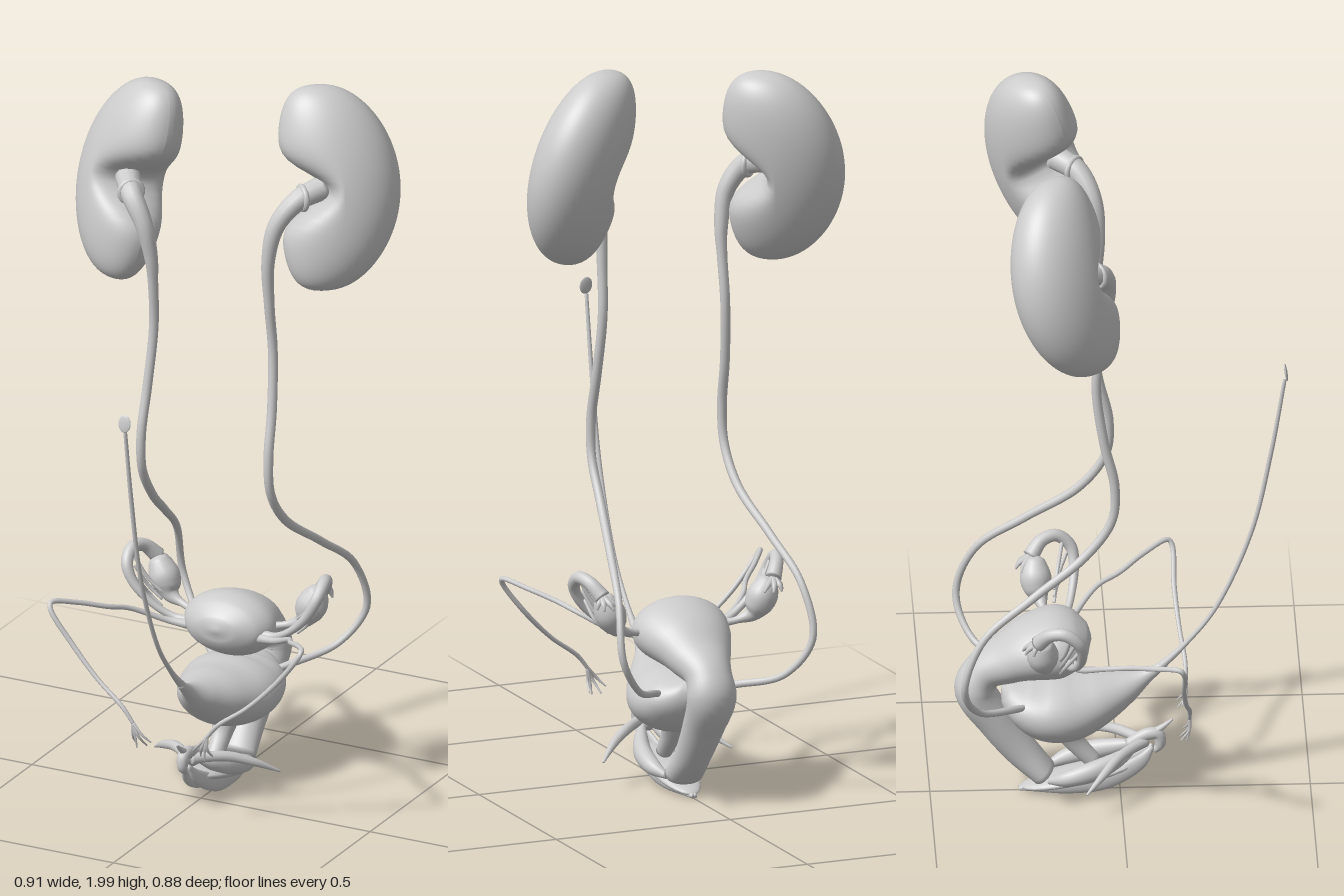
import * as THREE from 'three';

const tissue = new THREE.MeshStandardMaterial({ color: 0xcccccc });
tissue.name = 'tissue grey';

// Smooth closed sweep through [x, y, z, halfWidth, halfDepth] stations.
// With flat = true the width always lies along x.
function sweep(stations, steps = 48, sides = 14, flat = false) {
  const curve = new THREE.CatmullRomCurve3(stations.map(p => new THREE.Vector3(p[0], p[1], p[2])), false, 'centripetal');
  const sizes = new THREE.CatmullRomCurve3(stations.map((p, i) => new THREE.Vector3(p[3], p[4] ?? p[3], i)));
  const position = [], index = [];
  let side = new THREE.Vector3(1, 0, 0);
  const up = new THREE.Vector3();
  for (let i = -1; i <= steps + 1; i++) {
    const t = Math.min(1, Math.max(0, i / steps));
    const c = curve.getPoint(t), size = sizes.getPoint(t), T = curve.getTangent(t);
    const k = i < 0 || i > steps ? 0 : 1; // collapsed end rings close the ends
    if (flat) side.set(1, 0, 0);
    if (Math.abs(side.dot(T)) > 0.95) side.set(0, 1, 0);
    side.addScaledVector(T, -side.dot(T)).normalize();
    up.crossVectors(T, side);
    for (let j = 0; j < sides; j++) {
      const a = j / sides * Math.PI * 2;
      const p = c.clone()
        .addScaledVector(side, Math.cos(a) * Math.max(size.x, 0) * k)
        .addScaledVector(up, Math.sin(a) * Math.max(size.y, 0) * k);
      position.push(p.x, p.y, p.z);
    }
  }
  for (let i = 0; i < steps + 2; i++) for (let j = 0; j < sides; j++) {
    const a = i * sides + j, b = i * sides + (j + 1) % sides;
    index.push(a, b, a + sides, b, b + sides, a + sides);
  }
  const g = new THREE.BufferGeometry();
  g.setAttribute('position', new THREE.Float32BufferAttribute(position, 3));
  g.setIndex(index);
  g.computeVertexNormals();
  return g;
}

// Bean: a sphere stretched, bent, and dented on its inner side
function kidneyGeometry() {
  const g = new THREE.SphereGeometry(1, 56, 44);
  const p = g.attributes.position;
  for (let i = 0; i < p.count; i++) {
    const X = p.getX(i), Y = p.getY(i), Z = p.getZ(i);
    const full = Math.pow(Math.max(1 - Y * Y, 1e-4), -0.1);
    const dent = X < 0 ? 0.125 * -X * Math.exp(-Math.pow((Y + 0.02) / 0.25, 2)) : 0;
    p.setXYZ(i, 0.162 * X * full + 0.03 - 0.05 * Y * Y + dent, 0.273 * Y, 0.113 * Z * full);
  }
  g.computeVertexNormals();
  return g;
}

export function createModel() {
  const model = new THREE.Group();
  model.name = 'urogenitalSystem';
  const add = (name, geometry) => {
    const m = new THREE.Mesh(geometry, tissue);
    m.name = name;
    model.add(m);
    return m;
  };
  const ellipsoid = (name, x, y, z, rx, ry, rz, tiltX = 0) => {
    const m = add(name, new THREE.SphereGeometry(1, 28, 20));
    m.position.set(x, y, z);
    m.scale.set(rx, ry, rz);
    m.rotation.x = tiltX;
  };

  // Bladder, tapering forward into the cord
  add('bladder', sweep([
    [0, 0.375, 0.12, 0.009, 0.009], [0, 0.34, 0.07, 0.02, 0.02], [0, 0.312, 0.02, 0.052, 0.042],
    [0, 0.285, -0.05, 0.097, 0.07], [0, 0.263, -0.13, 0.132, 0.09], [0, 0.265, -0.2, 0.138, 0.088],
    [0, 0.287, -0.26, 0.115, 0.063], [0, 0.31, -0.3, 0.06, 0.03], [0, 0.315, -0.312, 0.004, 0.002]
  ], 56, 36, true));
  add('urethra', sweep([[0, 0.21, -0.15, 0.045], [0, 0.15, -0.12, 0.028], [0, 0.09, -0.07, 0.022]], 16, 16));
  add('bladderCord', sweep([
    [0, 0.36, 0.1, 0.012], [0, 0.43, 0.17, 0.007], [0, 0.535, 0.25, 0.006], [0, 0.76, 0.345, 0.006],
    [0, 0.995, 0.397, 0.006], [0, 1.21, 0.433, 0.005]
  ], 60, 10));
  ellipsoid('cordTip', 0, 1.232, 0.436, 0.018, 0.024, 0.004, -0.15);

  // Womb bending backward and down into the birth canal
  add('uterus', sweep([
    [0, 0.456, -0.076, 0.008, 0.005], [0, 0.456, -0.086, 0.058, 0.036], [0, 0.453, -0.115, 0.106, 0.068],
    [0, 0.447, -0.165, 0.131, 0.087], [0, 0.43, -0.235, 0.118, 0.08], [0, 0.402, -0.295, 0.092, 0.064],
    [0, 0.365, -0.358, 0.064, 0.053], [0, 0.312, -0.381, 0.067, 0.055], [0, 0.22, -0.328, 0.057, 0.05],
    [0, 0.13, -0.262, 0.05, 0.045], [0, 0.06, -0.2, 0.055, 0.035]
  ], 72, 36, true));

  // Opening at the base
  ellipsoid('vestibule', 0, 0.052, -0.11, 0.058, 0.018, 0.155, -0.22);
  add('clitoris', sweep([
    [0, 0.135, 0.02, 0.016], [0, 0.165, 0.07, 0.017], [0, 0.165, 0.1, 0.016], [0, 0.135, 0.105, 0.014], [0, 0.115, 0.09, 0.007]
  ], 24, 14));
  add('suspensoryLigament', sweep([[0, 0.165, 0.08, 0.012], [0, 0.185, 0.11, 0.008], [0, 0.208, 0.138, 0.003]], 14, 10));

  const beanShape = kidneyGeometry();
  for (const s of [1, -1]) {
    const name = s > 0 ? 'left' : 'right';
    const mirror = pts => pts.map(p => [p[0] * s, ...p.slice(1)]);
    const tube = (part, pts, steps, sides, flat) => add(name + part, sweep(mirror(pts), steps, sides, flat));
    const dy = s > 0 ? 0 : -0.06, dz = s > 0 ? 0 : 0.04;

    // Kidney, turned so its outer border faces backward
    const kidney = add(name + 'Kidney', beanShape);
    const v = new THREE.Vector3(-0.15 * s, 0.96, -0.2).normalize();
    const u = new THREE.Vector3(0.81 * s, 0, -0.58);
    u.addScaledVector(v, -u.dot(v)).normalize();
    kidney.quaternion.setFromRotationMatrix(new THREE.Matrix4().makeBasis(u, v, new THREE.Vector3().crossVectors(u, v)));
    kidney.position.set(0.279 * s, 1.73 + dy, -0.186 + dz);

    // Ureter from the kidney hollow round the back into the bladder
    tube('Ureter', [
      [0.28, 1.74 + dy, -0.16 + dz, 0.034], [0.235, 1.715 + dy, -0.1 + dz, 0.029], [0.192, 1.65 + dy, -0.062 + dz * 0.5, 0.024],
      [0.173, 1.55 + dy, -0.05, 0.018], [0.172, 1.42, -0.058, 0.014], [0.176, 1.29, -0.07, 0.013],
      [0.184, 1.13, -0.05, 0.013], [0.188, 1.0, -0.022, 0.013], [0.19, 0.9, -0.03, 0.012], [0.197, 0.8, -0.1, 0.012],
      [0.23, 0.695, -0.24, 0.011], [0.262, 0.59, -0.37, 0.01], [0.272, 0.45, -0.42, 0.01],
      [0.21, 0.35, -0.38, 0.009], [0.12, 0.31, -0.28, 0.01], [0.09, 0.3, -0.25, 0.008]
    ], 130, 12);
    const rim = add(name + 'HilumRim', new THREE.TorusGeometry(0.03, 0.008, 10, 24));
    rim.position.set(0.243 * s, 1.72 + dy, -0.11 + dz);
    rim.rotation.y = -0.7 * s;

    // Fallopian tube arching over the ovary, with a fringed end
    tube('FallopianTube', [
      [0.1, 0.44, -0.14, 0.018], [0.145, 0.445, -0.135, 0.011], [0.2, 0.475, -0.12, 0.01], [0.255, 0.53, -0.11, 0.013],
      [0.28, 0.58, -0.118, 0.016], [0.282, 0.612, -0.155, 0.017], [0.268, 0.605, -0.195, 0.018], [0.245, 0.57, -0.225, 0.022]
    ], 56, 14);
    for (let i = 0; i < 7; i++) {
      const a = i / 7 * Math.PI * 2;
      tube('Fimbria', [
        [0.246, 0.572, -0.223, 0.01], [0.24 + 0.02 * Math.cos(a), 0.557, -0.235 + 0.02 * Math.sin(a), 0.007],
        [0.236 + 0.03 * Math.cos(a), 0.542, -0.238 + 0.028 * Math.sin(a), 0.003]
      ], 8, 7);
    }
    // Ovary, tapering down to its ligament
    tube('Ovary', [
      [0.243, 0.575, -0.213, 0.008], [0.238, 0.565, -0.213, 0.025], [0.222, 0.53, -0.213, 0.041], [0.208, 0.5, -0.21, 0.038],
      [0.193, 0.475, -0.203, 0.022], [0.155, 0.46, -0.195, 0.01], [0.105, 0.45, -0.18, 0.012]
    ], 36, 18);
    // Thin strands between tube and ovary
    for (let i = 0; i < 3; i++)
      tube('TubeStrand', [[0.25 + i * 0.012, 0.54 + i * 0.03, -0.12 - i * 0.01, 0.005],
        [0.235, 0.49 + i * 0.02, -0.155, 0.005], [0.2, 0.455 + i * 0.02, -0.165, 0.004]], 10, 7);

    // Round ligament sweeping forward, then down to a branched end
    tube('RoundLigament', [
      [0.105, 0.435, -0.13, 0.014], [0.16, 0.445, -0.11, 0.009], [0.235, 0.485, -0.05, 0.007], [0.27, 0.505, 0.01, 0.007],
      [0.325, 0.53, 0.075, 0.007], [0.37, 0.546, 0.142, 0.007], [0.365, 0.53, 0.153, 0.007], [0.3, 0.445, 0.155, 0.007],
      [0.22, 0.365, 0.165, 0.006], [0.14, 0.305, 0.177, 0.006], [0.108, 0.265, 0.178, 0.005]
    ], 90, 10);
    for (const [x, y, z] of [[0.062, 0.215, 0.165], [0.08, 0.2, 0.155], [0.1, 0.195, 0.172], [0.115, 0.205, 0.155]])
      tube('LigamentBranch', [[0.11, 0.268, 0.178, 0.005], [(x + 0.105) / 2, (y + 0.26) / 2, 0.177, 0.004], [x, y, z, 0.002]], 10, 6);

    // Crus, bulb and folds around the opening
    tube('Crus', [
      [0.004, 0.145, 0.065, 0.015], [0.035, 0.145, 0.035, 0.014], [0.08, 0.14, -0.005, 0.014],
      [0.135, 0.118, -0.048, 0.011], [0.185, 0.085, -0.095, 0.003]
    ], 28, 12);
    tube('Bulb', [
      [0.012, 0.135, 0.04, 0.007], [0.035, 0.115, 0, 0.018, 0.02], [0.06, 0.09, -0.07, 0.024, 0.028],
      [0.062, 0.07, -0.14, 0.022, 0.022], [0.045, 0.055, -0.19, 0.008]
    ], 28, 14, true);
    tube('InnerFold', [
      [0.006, 0.13, 0.085, 0.006], [0.016, 0.09, 0.05, 0.009, 0.02], [0.026, 0.045, -0.04, 0.011, 0.026],
      [0.026, 0.03, -0.14, 0.011, 0.022], [0.012, 0.02, -0.22, 0.009, 0.012], [0.003, 0.014, -0.265, 0.006, 0.006]
    ], 32, 14, true);
  }
  return model;
}
